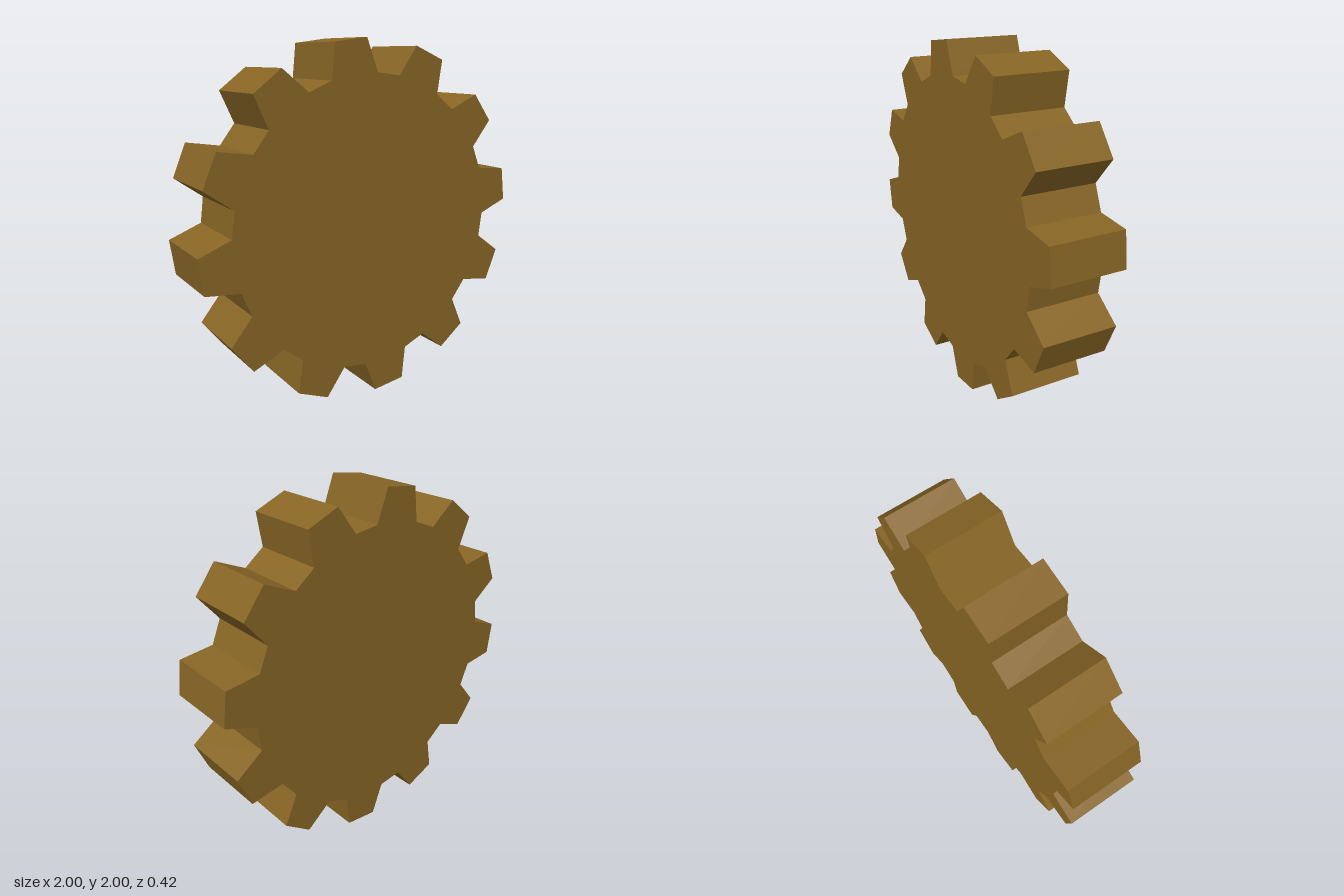
import * as THREE from 'three';

const TEETH = 12;
const TIP_R = 1.0006;
const ROOT_R = 0.822;
const DEPTH = 0.42;

export function createModel() {
  const bronze = new THREE.MeshStandardMaterial({ color: 0x876525 });
  bronze.name = 'bronze';

  // Each tooth: root, tip, tip, root, as [degrees from tooth centre, radius]
  const tooth = [[-10, ROOT_R], [-5.6, TIP_R], [5.6, TIP_R], [10, ROOT_R]];
  const outline = [];
  for (let i = 0; i < TEETH; i++) {
    for (const [offset, r] of tooth) {
      const a = THREE.MathUtils.degToRad(7.6 + i * 360 / TEETH + offset);
      outline.push(new THREE.Vector2(Math.cos(a) * r, Math.sin(a) * r));
    }
  }

  // Solid gear disc with straight-sided teeth
  const geometry = new THREE.ExtrudeGeometry(new THREE.Shape(outline), {
    depth: DEPTH, bevelEnabled: false, steps: 1,
  });
  geometry.translate(0, 1, -DEPTH / 2);

  const gear = new THREE.Mesh(geometry, bronze);
  gear.name = 'gearWheel';
  const group = new THREE.Group();
  group.name = 'gear';
  group.add(gear);
  return group;
}
